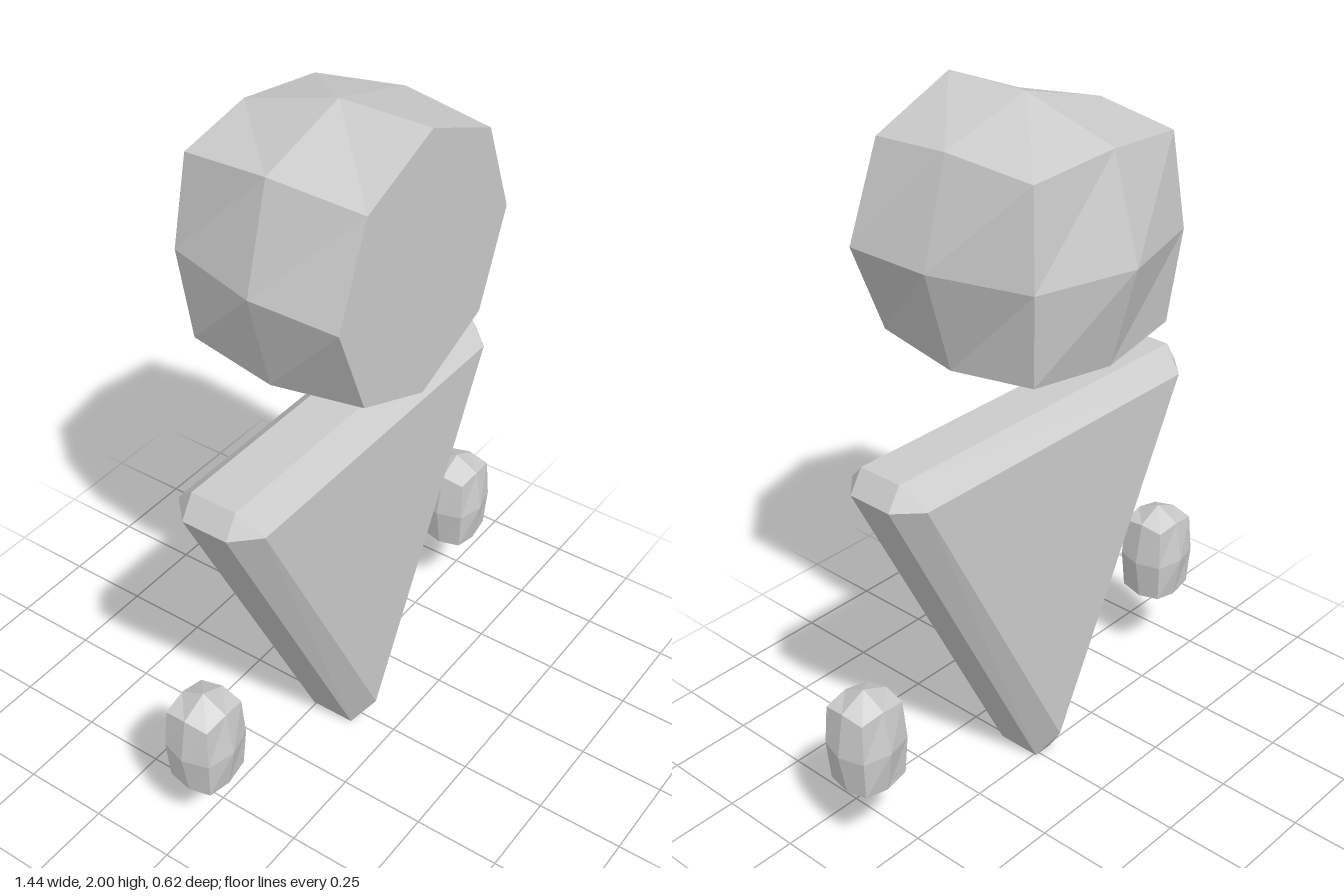
import * as THREE from 'three';
import { ConvexGeometry } from 'three/addons/geometries/ConvexGeometry.js';

const material = new THREE.MeshStandardMaterial({ color: 0xcccccc, flatShading: true });

// Cube of 2x2 faces per side, rounded into a coarse ball: face centres, edge middles and corners
// are pulled in by different amounts. With flatZ the front half becomes a straight, capped drum.
function blockBall(rx, ry, rz, flatZ) {
  const pull = [0, 1, 0.78, 0.71];
  const geometry = new THREE.BoxGeometry(2, 2, 2, 2, 2, 2);
  const p = geometry.attributes.position;
  for (let i = 0; i < p.count; i++) {
    const x = Math.round(p.getX(i)), y = Math.round(p.getY(i)), z = Math.round(p.getZ(i));
    const drum = flatZ !== undefined && z > 0;
    const k = pull[Math.abs(x) + Math.abs(y) + Math.abs(z)];
    const kxy = drum ? (x && y ? 0.71 : 1) : k;
    p.setXYZ(i, x * kxy * rx, y * kxy * ry, drum ? flatZ : z * k * rz);
  }
  geometry.computeVertexNormals();
  return geometry;
}

// Upside-down triangular slab with bevelled edges and corners
function bodyGeometry() {
  const rim = [[0.532, 1.15], [0.572, 1.085], [0.03, 0]];
  const face = [[0.504, 1.085], [-0.504, 1.085], [0, 0.1]];
  const points = [];
  for (const side of [-1, 1]) {
    for (const [x, y] of rim) {
      points.push(new THREE.Vector3(x, y, side * 0.0675), new THREE.Vector3(-x, y, side * 0.0675));
    }
    for (const [x, y] of face) points.push(new THREE.Vector3(x, y, side * 0.135));
  }
  return new ConvexGeometry(points);
}

export function createModel() {
  const group = new THREE.Group();
  const add = (name, geometry, x, y, z) => {
    const mesh = new THREE.Mesh(geometry, material);
    mesh.name = name;
    mesh.position.set(x, y, z);
    group.add(mesh);
  };

  // Head with a flat face at the front
  add('head', blockBall(0.365, 0.365, 0.36, 0.26), -0.016, 1.635, 0.05);

  add('body', bodyGeometry(), -0.016, 0, 0.06);

  // Floating hands
  const hand = blockBall(0.102, 0.165, 0.094);
  add('leftHand', hand, 0.617, 0.39, 0.055);
  add('rightHand', hand, -0.621, 0.39, 0.055);

  return group;
}
